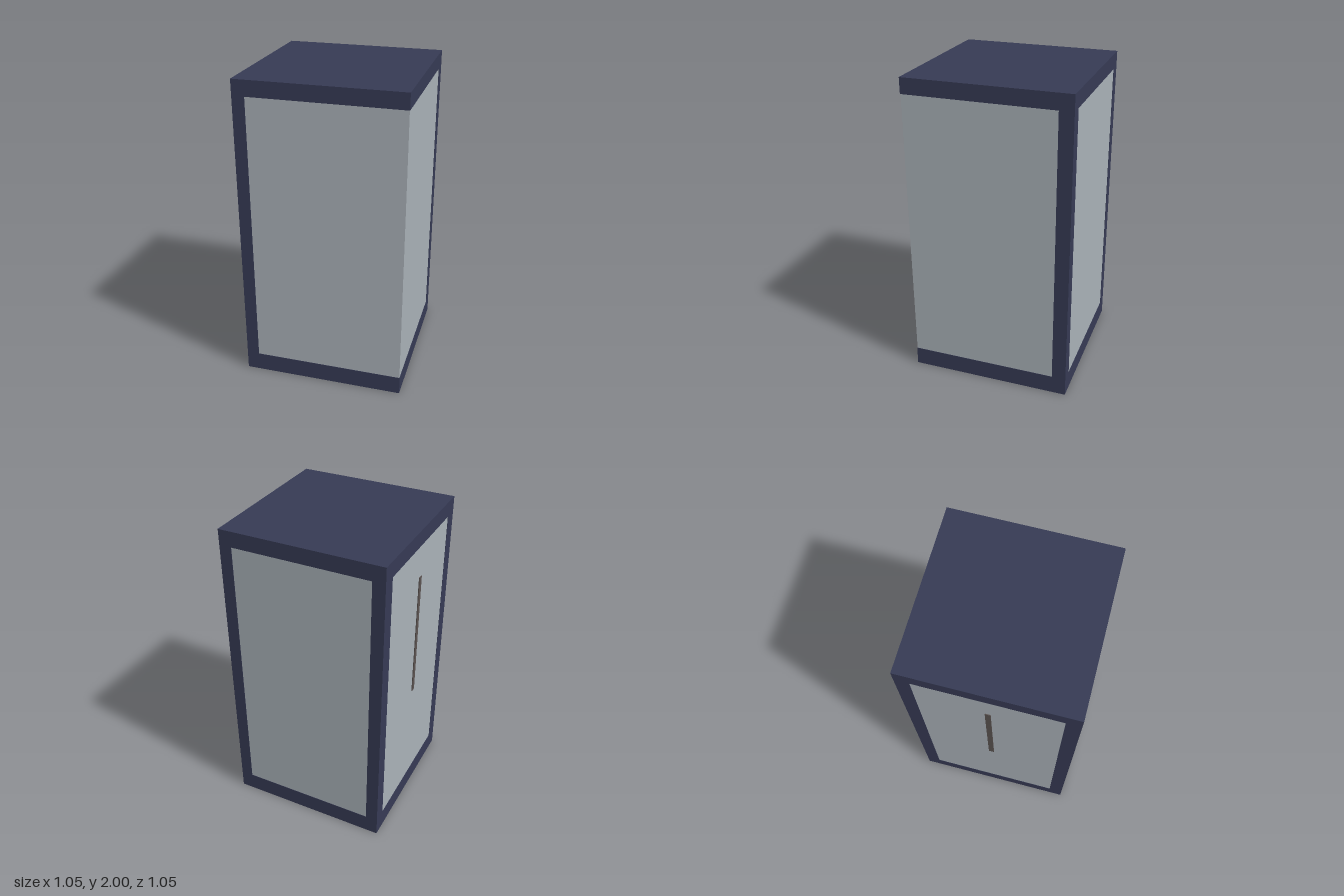
import * as THREE from 'three';

const HALF = 0.523;            // half of the square footprint
const BASE = 0.12, TOP = 1.9;  // glazed height range
const POST_X = 0.08, POST_Z = 0.09;
const GLASS = 0.02, INSET = 0.002;

const frameMat = new THREE.MeshStandardMaterial({ color: 0x363a54 });
const glassMat = new THREE.MeshStandardMaterial({ color: 0xa9b1b7 });
const handleMat = new THREE.MeshStandardMaterial({ color: 0x5a5250 });

// Box given by its extents along each axis
function block(name, mat, [x0, x1], [y0, y1], [z0, z1]) {
  const mesh = new THREE.Mesh(new THREE.BoxGeometry(x1 - x0, y1 - y0, z1 - z0), mat);
  mesh.position.set((x0 + x1) / 2, (y0 + y1) / 2, (z0 + z1) / 2);
  mesh.name = name;
  return mesh;
}

export function createModel() {
  const model = new THREE.Group();
  model.name = 'glassBooth';
  const full = [-HALF, HALF];
  const height = [BASE, TOP];

  // Floor and roof slabs
  model.add(block('floor', frameMat, full, [0, BASE], full));
  model.add(block('roof', frameMat, full, [TOP, 2], full));

  // Posts on three corners; the front left corner is glass to glass
  const posts = { backLeftPost: [1, -1], backRightPost: [-1, -1], frontRightPost: [-1, 1] };
  for (const [name, [sx, sz]] of Object.entries(posts)) {
    const x = sx > 0 ? [HALF - POST_X, HALF] : [-HALF, -HALF + POST_X];
    const z = sz > 0 ? [HALF - POST_Z, HALF] : [-HALF, -HALF + POST_Z];
    model.add(block(name, frameMat, x, height, z));
  }

  // Glass panes, almost flush with the frame
  const out = HALF - INSET, inn = out - GLASS;
  const innerX = HALF - POST_X, innerZ = HALF - POST_Z;
  model.add(block('frontGlass', glassMat, [-innerX, out], height, [inn, out]));
  model.add(block('leftGlass', glassMat, [inn, out], height, [-innerZ, inn]));
  model.add(block('backGlass', glassMat, [-innerX, innerX], height, [-out, -inn]));
  model.add(block('doorGlass', glassMat, [-out, -inn], height, [-innerZ, innerZ]));

  // Slim vertical pull on the door pane
  model.add(block('doorHandle', handleMat, [-HALF - 0.003, -inn], [0.85, 1.69], [-0.018, 0.016]));

  return model;
}
